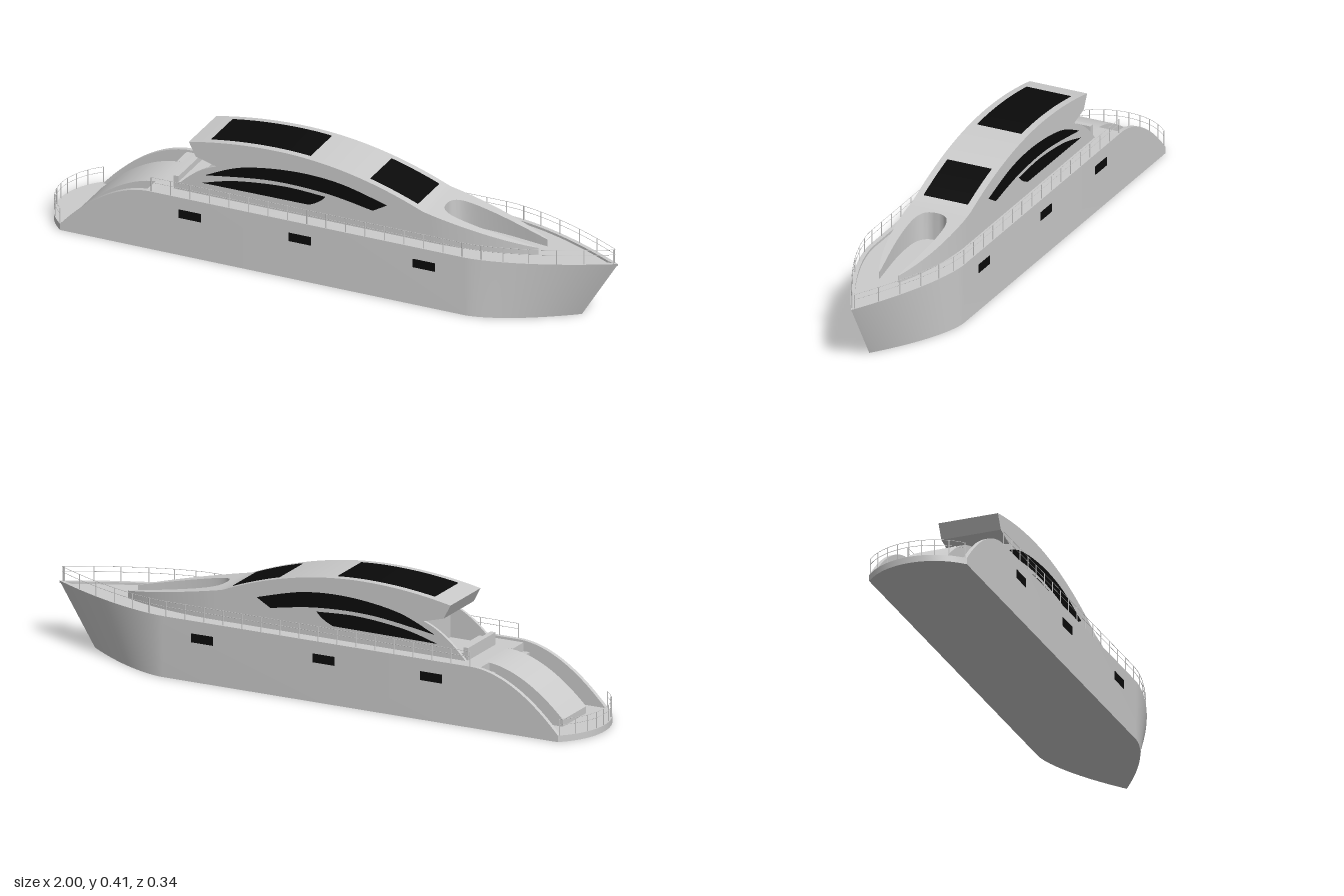
import * as THREE from 'three';
import { toCreasedNormals } from 'three/addons/utils/BufferGeometryUtils.js';

const grey = new THREE.MeshStandardMaterial({ color: 0xcccccc, side: THREE.DoubleSide });
const black = new THREE.MeshStandardMaterial({ color: 0x0a0a0a });
const DECK = 0.2, RIM = 0.208, PLATFORM = 0.022;

// Half width of the hull plan: rounded stern, straight sides, pointed bow
function halfWidth(x) {
  if (x < -0.92) return Math.sqrt(Math.max(0, 0.2206 ** 2 - (x + 1 - 0.2206) ** 2));
  if (x < 0.53) return 0.171;
  return 0.171 * (1 - Math.min(1, (x - 0.53) / 0.47) ** 1.55);
}
// Height of the hull's upper edge
function rimY(x) {
  if (x <= -0.92) return PLATFORM;
  return x < -0.6 ? RIM - (RIM - PLATFORM) * ((-0.6 - x) / 0.32) ** 1.9 : RIM;
}
// Height of the cabin roof
function roofY(x) {
  if (x > 0.35) return 0.305 - (x - 0.35) * 0.21;
  return 0.413 - (x < -0.17 ? 0.32 : 0.4) * (x + 0.17) ** 2;
}
const range = (a, b, n) => Array.from({ length: n + 1 }, (_, i) => a + (b - a) * i / n);

export function createModel() {
  const model = new THREE.Group();

  function add(name, geometry, material = grey, parent = model) {
    const mesh = new THREE.Mesh(geometry, material);
    mesh.name = name;
    parent.add(mesh);
    return mesh;
  }
  function box(name, x0, x1, y0, y1, z0, z1, material, parent) {
    const g = new THREE.BoxGeometry(x1 - x0, y1 - y0, z1 - z0);
    g.translate((x0 + x1) / 2, (y0 + y1) / 2, (z0 + z1) / 2);
    return add(name, g, material, parent);
  }
  // Side profile extruded between two z values
  function profile(name, shape, z0, z1, material) {
    const g = new THREE.ExtrudeGeometry(shape, { depth: z1 - z0, bevelEnabled: false, curveSegments: 16 });
    g.translate(0, 0, z0);
    return add(name, toCreasedNormals(g, 0.4), material);
  }
  const polygon = (pts) => new THREE.Shape(pts.map(([x, y]) => new THREE.Vector2(x, y)));

  // Hull: closed sections lofted from stern to bow, with bulwark and sunken deck
  const stations = [
    ...range(0, 1, 12).map((t) => [-1 + 0.08 * t * t, PLATFORM]),
    ...range(-0.92, -0.6, 20).map((x) => [x, PLATFORM]),
    [-0.6, DECK], [0.53, DECK],
    ...range(0.55, 1, 24).map((x) => [x, DECK]),
  ];
  const positions = [];
  const rings = stations.map(([x, floor]) => {
    const w = halfWidth(x), inner = Math.max(0, w - 0.015), top = rimY(x);
    const keel = x > 0.53 ? 0.53 + (x - 0.53) * 0.34 / 0.47 : x;
    return [[keel, 0, -w], [keel, 0, w], [x, top, w], [x, top, inner],
      [x, floor, inner], [x, floor, -inner], [x, top, -inner], [x, top, -w]];
  });
  for (let i = 0; i + 1 < rings.length; i++) {
    for (let j = 0; j < 8; j++) {
      const k = (j + 1) % 8;
      const a = rings[i][j], b = rings[i + 1][j], c = rings[i][k], d = rings[i + 1][k];
      positions.push(...a, ...b, ...c, ...b, ...d, ...c);
    }
  }
  const hull = new THREE.BufferGeometry();
  hull.setAttribute('position', new THREE.Float32BufferAttribute(positions, 3));
  add('hull', toCreasedNormals(hull, 0.4));

  // Sloping stern door between the two stairways
  profile('sternDoor', polygon([[-0.6, 0.01], [-0.89, 0.01],
    ...range(-0.89, -0.6, 16).map((x) => [x, rimY(x) - 0.008])]), -0.08, 0.08);
  const stairs = new THREE.Group();
  stairs.name = 'sternStairs';
  model.add(stairs);
  for (let i = 0; i < 6; i++) {
    const x = -0.73 + i * 0.022, top = PLATFORM + (i + 1) * (DECK - PLATFORM) / 6;
    box('leftStep', x, -0.598, 0.01, top, 0.08, 0.157, grey, stairs);
    box('rightStep', x, -0.598, 0.01, top, -0.157, -0.08, grey, stairs);
  }

  // Cabin with overhanging aft roof
  profile('cabin', polygon([
    [0.37, DECK], ...range(0.37, -0.49, 40).map((x) => [x, roofY(x)]),
    [-0.465, 0.332], [-0.385, 0.31], [-0.385, DECK]]), -0.104, 0.104);

  // Foredeck: tapered plan with an open lounge recess, top following the slope
  const plan = new THREE.Shape();
  plan.moveTo(0.37, -0.104);
  plan.lineTo(0.4, -0.104);
  plan.quadraticCurveTo(0.6, -0.095, 0.73, -0.036);
  plan.lineTo(0.73, -0.033);
  plan.bezierCurveTo(0.64, -0.045, 0.57, -0.06, 0.48, -0.06);
  plan.bezierCurveTo(0.41, -0.06, 0.386, -0.045, 0.386, 0);
  plan.bezierCurveTo(0.386, 0.045, 0.41, 0.06, 0.48, 0.06);
  plan.bezierCurveTo(0.57, 0.06, 0.64, 0.045, 0.73, 0.033);
  plan.lineTo(0.73, 0.036);
  plan.quadraticCurveTo(0.6, 0.095, 0.4, 0.104);
  plan.lineTo(0.37, 0.104);
  const fore = new THREE.ExtrudeGeometry(plan, { depth: 1, bevelEnabled: false, curveSegments: 14 });
  fore.rotateX(-Math.PI / 2);
  const p = fore.attributes.position;
  for (let i = 0; i < p.count; i++) p.setY(i, p.getY(i) > 0.5 ? roofY(p.getX(i)) : DECK);
  add('foredeckLounge', toCreasedNormals(fore, 0.4));

  // Curved cockpit side walls, side glass and hull windows, mirrored
  const wall = new THREE.Shape();
  wall.moveTo(-0.38, DECK);
  wall.lineTo(-0.38, 0.315);
  wall.quadraticCurveTo(-0.46, 0.295, -0.545, DECK);
  const upper = new THREE.Shape();
  upper.moveTo(-0.43, 0.273);
  upper.splineThru([[-0.3, 0.327], [-0.12, 0.352], [0.05, 0.344], [0.22, 0.301]].map((q) => new THREE.Vector2(...q)));
  upper.lineTo(0.17, 0.272);
  upper.splineThru([[0, 0.299], [-0.2, 0.303], [-0.43, 0.273]].map((q) => new THREE.Vector2(...q)));
  const lower = new THREE.Shape();
  lower.moveTo(-0.44, 0.243);
  lower.splineThru([[-0.32, 0.274], [-0.15, 0.291], [0, 0.285]].map((q) => new THREE.Vector2(...q)));
  lower.quadraticCurveTo(-0.02, 0.26, -0.06, 0.245);
  for (const [side, s] of [['left', 1], ['right', -1]]) {
    const slab = (name, shape, a, b, m) =>
      profile(side + name, shape, Math.min(s * a, s * b), Math.max(s * a, s * b), m);
    slab('CockpitWall', wall, 0.094, 0.104, grey);
    slab('UpperWindow', upper, 0.1, 0.106, black);
    slab('LowerWindow', lower, 0.1, 0.106, black);
    for (const x of [-0.455, -0.06, 0.385])
      box(side + 'HullWindow', x - 0.04, x + 0.04, 0.135, 0.165, s * 0.1705 - 0.002, s * 0.1705 + 0.002, black);
  }

  // Roof glass following the roof curve
  for (const [name, a, b] of [['sunroof', -0.42, -0.065], ['windscreen', 0.15, 0.32]])
    profile(name, polygon([...range(a, b, 14).map((x) => [x, roofY(x) - 0.004]),
      ...range(b, a, 14).map((x) => [x, roofY(x) + 0.002])]), -0.08, 0.08, black);

  // Cockpit bench
  box('benchSeat', -0.55, -0.49, DECK, 0.222, -0.094, 0.094);
  box('benchBack', -0.55, -0.532, DECK, 0.242, -0.094, 0.094);

  // Railings: thin posts joined by two rails
  function railing(name, path, posts, base, heights) {
    const group = new THREE.Group();
    group.name = name;
    model.add(group);
    const top = heights[0];
    for (const [x, z] of posts) {
      const g = new THREE.CylinderGeometry(0.0018, 0.0018, top - base, 6);
      g.translate(x, (top + base) / 2, z);
      add('post', g, grey, group);
    }
    for (const y of heights) {
      const curve = new THREE.CurvePath();
      const v = path.map(([x, z]) => new THREE.Vector3(x, y, z));
      for (let i = 0; i + 1 < v.length; i++) curve.add(new THREE.LineCurve3(v[i], v[i + 1]));
      add('rail', new THREE.TubeGeometry(curve, 90, 0.0009, 4), grey, group);
    }
  }
  const edge = (s) => (x) => [x, s * Math.max(0, halfWidth(x) - 0.004)];
  const sidePosts = [...range(-0.595, 0.52, 16), 0.585, 0.655, 0.735, 0.82, 0.9, 0.985];
  for (const [side, s] of [['left', 1], ['right', -1]])
    railing(side + 'DeckRailing', [-0.595, ...range(0.52, 0.99, 16)].map(edge(s)),
      sidePosts.map(edge(s)), RIM - 0.004, [0.258, 0.24]);
  const stern = (n) => range(-0.165, 0.165, n).map((z) =>
    [-0.997 + 0.2206 - Math.sqrt(0.2206 ** 2 - z * z), z]);
  railing('sternRailing', stern(20), stern(8), PLATFORM - 0.004, [0.077, 0.058]);

  return model;
}
